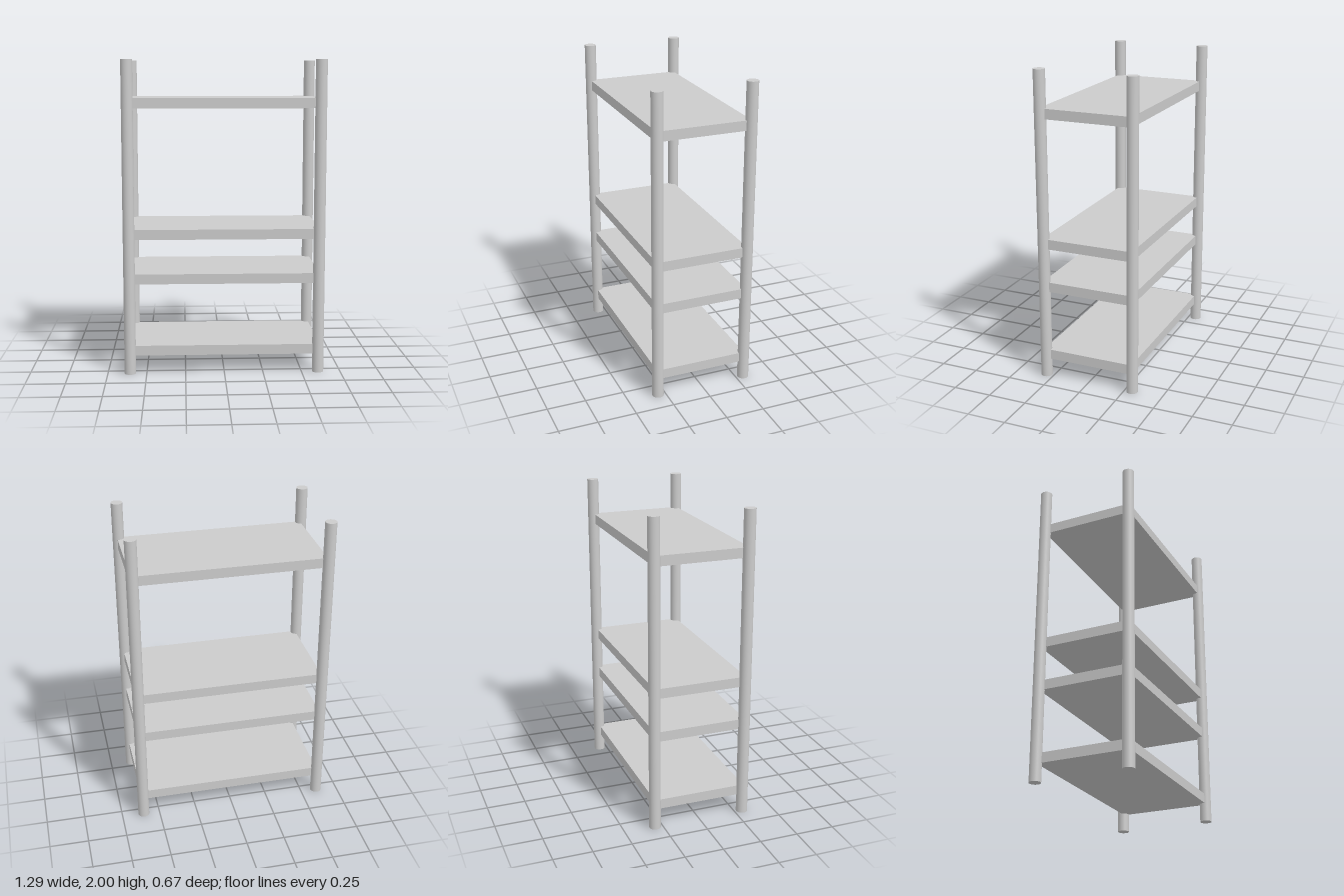
import * as THREE from 'three';

export function createModel() {
  const group = new THREE.Group();
  const material = new THREE.MeshStandardMaterial({ color: 0xcccccc });

  // four round corner posts
  const postGeometry = new THREE.CylinderGeometry(0.037, 0.037, 2, 32);
  for (const x of [-0.606, 0.606]) {
    for (const z of [-0.3, 0.3]) {
      const post = new THREE.Mesh(postGeometry, material);
      post.name = `${z > 0 ? 'front' : 'back'}${x > 0 ? 'Left' : 'Right'}Post`;
      post.position.set(x, 1, z);
      group.add(post);
    }
  }

  // four flat shelves, set slightly off the post centres
  const shelfGeometry = new THREE.BoxGeometry(1.216, 0.064, 0.606);
  [0.151, 0.617, 0.903, 1.73].forEach((y, i) => {
    const shelf = new THREE.Mesh(shelfGeometry, material);
    shelf.name = `shelf${i + 1}`;
    shelf.position.set(0.007, y, 0.005);
    group.add(shelf);
  });

  return group;
}
